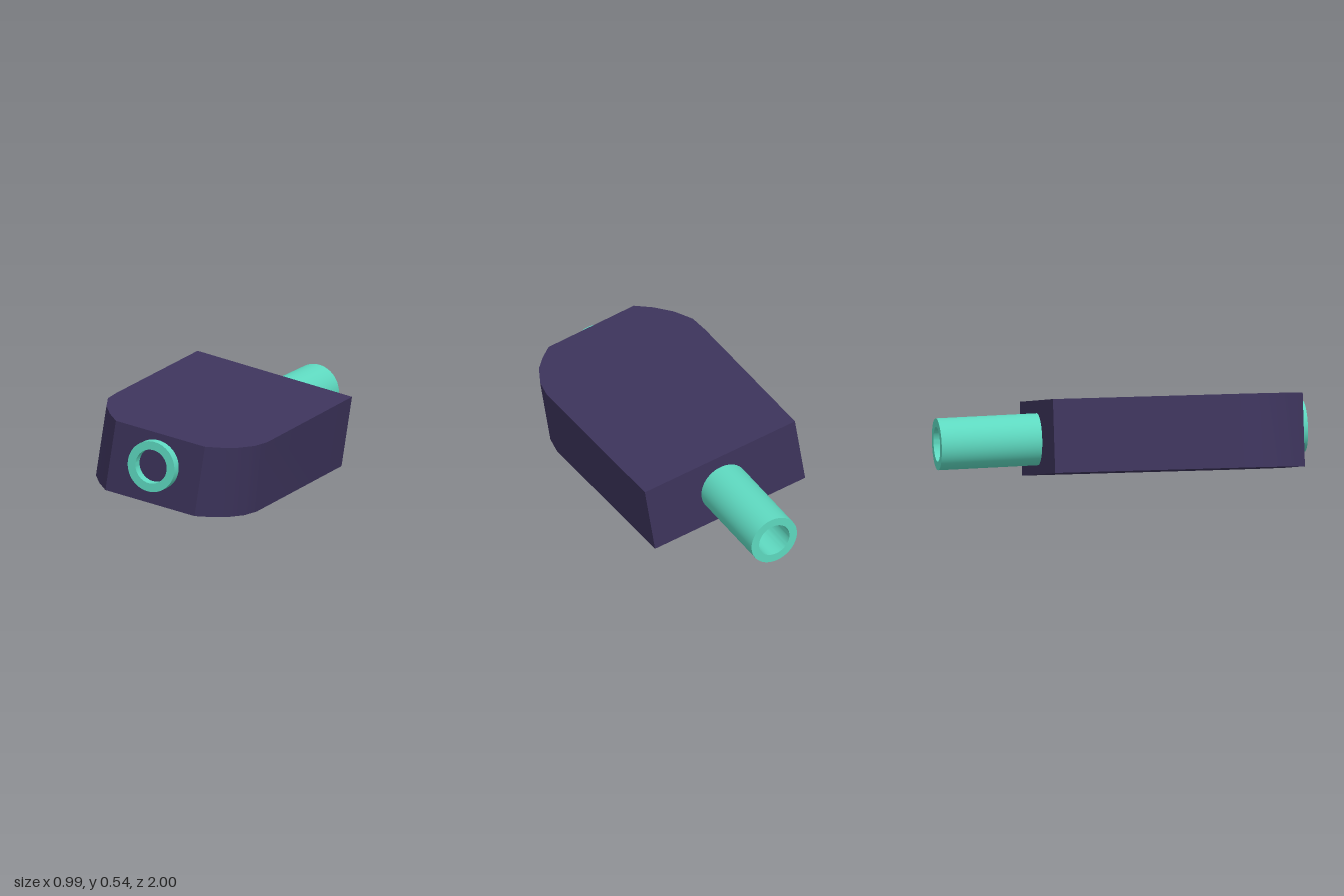
import * as THREE from 'three';
import { toCreasedNormals } from 'three/addons/utils/BufferGeometryUtils.js';

const CENTRE_Y = 0.271;

export function createModel() {
  const model = new THREE.Group();
  const bodyPaint = new THREE.MeshStandardMaterial({ color: 0x3d345c });
  bodyPaint.name = 'dark violet';
  const tubePaint = new THREE.MeshStandardMaterial({ color: 0x5ed9c0 });
  tubePaint.name = 'mint green';

  // Body: plan outline (x, z) with rounded front corners, extruded upwards and rolled sideways
  const outline = [
    [0.46, -0.45], [0.471, 0.6], [0.45, 0.71], [0.395, 0.82], [0.335, 0.885], [0.266, 0.942],
    [-0.267, 0.949], [-0.343, 0.87], [-0.413, 0.77], [-0.464, 0.65], [-0.471, 0.53], [-0.471, -0.45],
  ];
  const height = 0.395;
  const shape = new THREE.Shape(outline.map(([x, z]) => new THREE.Vector2(x, -z)));
  const block = new THREE.ExtrudeGeometry(shape, { depth: height, bevelEnabled: false });
  block.rotateX(-Math.PI / 2).translate(0, -height / 2, 0);
  const body = new THREE.Mesh(toCreasedNormals(block, Math.PI / 6), bodyPaint);
  body.name = 'body';
  body.position.y = CENTRE_Y;
  body.rotation.z = -0.159;
  model.add(body);

  // Hollow tube running through the body, its front end slightly raised
  const outer = 0.139, inner = 0.093, half = 0.997;
  const profile = [[inner, -half], [outer, -half], [outer, half], [inner, half], [inner, -half]]
    .map(([r, y]) => new THREE.Vector2(r, y));
  const pipe = new THREE.LatheGeometry(profile, 64).rotateX(Math.PI / 2);
  const tube = new THREE.Mesh(toCreasedNormals(pipe, Math.PI / 6), tubePaint);
  tube.name = 'tube';
  tube.position.y = CENTRE_Y;
  tube.rotation.x = -0.022;
  model.add(tube);

  return model;
}
